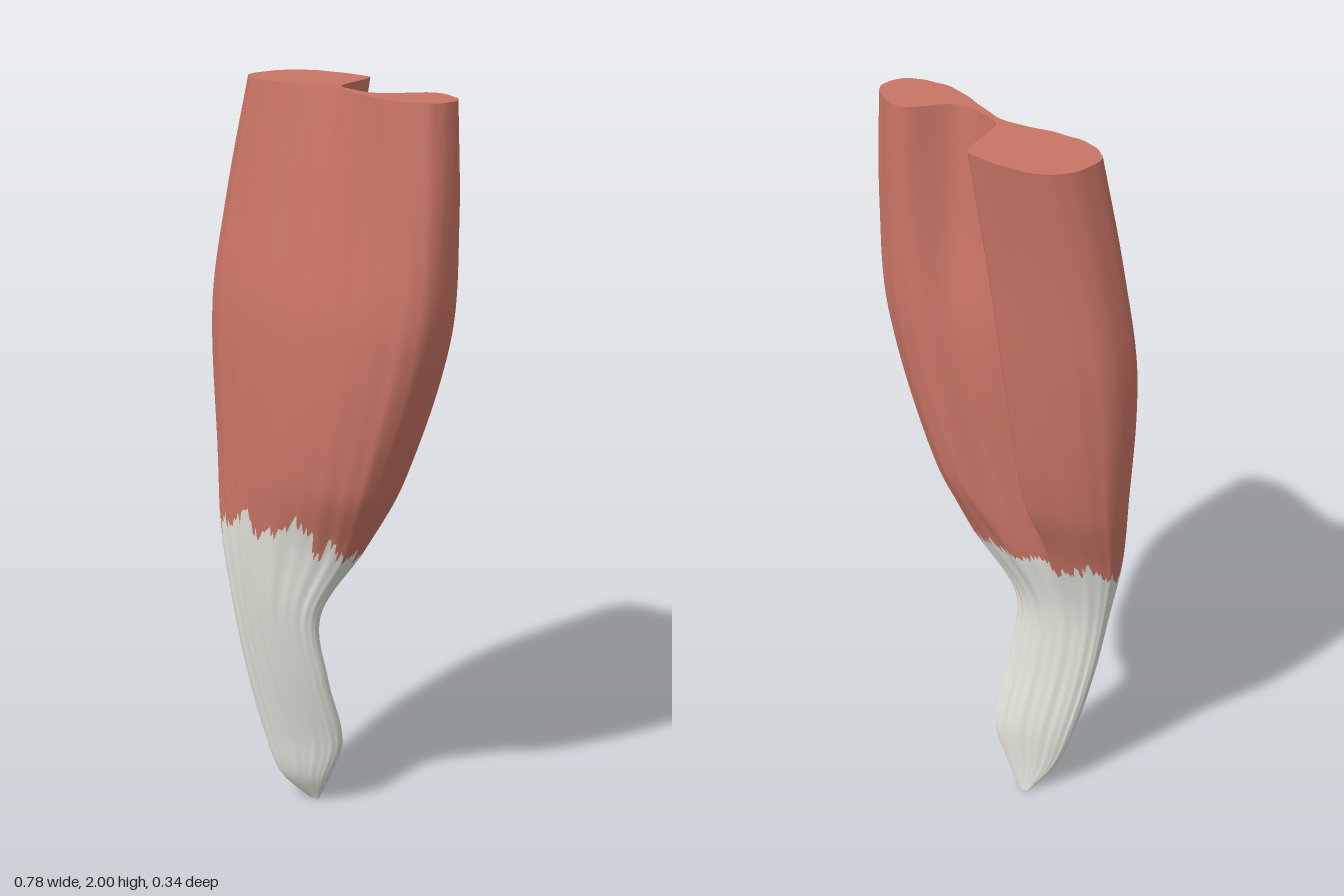
import * as THREE from 'three';

const COLUMNS = 240;

// Section: height, left x, right x, left-edge z, right-edge z, front bulge,
// back bulge left and right, back groove depth and position, front hollow
const sections = [
  [0, -0.125, -0.098, -0.008, -0.015, 0.005, 0.005, 0.005, 0, 0, 0],
  [0.08, -0.172, -0.055, 0.05, -0.012, 0.024, 0.024, 0.026, 0, 0, 0],
  [0.2, -0.207, -0.012, 0.08, -0.018, 0.03, 0.03, 0.03, 0, 0, 0],
  [0.4, -0.247, -0.01, 0.112, 0.04, 0.03, 0.032, 0.032, 0, 0, 0],
  [0.6, -0.28, -0.003, 0.128, 0.075, 0.036, 0.045, 0.04, 0, 0, 0],
  [0.8, -0.325, 0.11, 0.11, 0.03, 0.078, 0.06, 0.08, 0.02, 0, 0],
  [1, -0.36, 0.225, 0.075, 0.055, 0.107, 0.105, 0.185, 0.07, 0.06, 0.01],
  [1.4, -0.39, 0.37, 0.052, 0.037, 0.13, 0.16, 0.188, 0.09, 0.05, 0.03],
  [1.7, -0.365, 0.39, 0.02, 0.015, 0.12, 0.168, 0.145, 0.13, 0.09, 0.05],
  [2, -0.32, 0.375, -0.02, -0.01, 0.12, 0.195, 0.095, 0.17, 0.12, 0.08],
];

// Smooth blend of the section values at height y
function sectionAt(y) {
  const last = sections.length - 1;
  let k = 0;
  while (k < last - 1 && y > sections[k + 1][0]) k++;
  const h = sections[k + 1][0] - sections[k][0], t = (y - sections[k][0]) / h;
  const t2 = t * t, t3 = t2 * t;
  const slope = (n, c) => {
    const a = sections[Math.max(n - 1, 0)], b = sections[Math.min(n + 1, last)];
    return (b[c] - a[c]) / (b[0] - a[0]);
  };
  return sections[k].map((v, c) => (2 * t3 - 3 * t2 + 1) * v + (t3 - 2 * t2 + t) * h * slope(k, c)
    + (3 * t2 - 2 * t3) * sections[k + 1][c] + (t3 - t2) * h * slope(k + 1, c));
}

// Surface point: u runs left -> front -> right -> back
function surface(u, y) {
  const [, xl, xr, zl, zr, front, backL, backR, groove, centre, hollow] = sectionAt(y);
  const a = Math.PI * (1 - 2 * u), s = Math.cos(a), side = (s + 1) / 2;
  const swell = Math.pow(Math.abs(Math.sin(a)), 0.7);
  let z = THREE.MathUtils.lerp(zl, zr, side);
  if (Math.sin(a) > 0) {
    z += swell * (front - hollow * Math.exp(-(((s + 0.05) / 0.5) ** 2)));
  } else {
    // The groove has one steep wall and one shallow wall that narrows downwards
    const d = s - centre;
    const cut = d < 0 ? (d / 0.29) ** 6 : (d / (0.15 + 0.13 * y)) ** 4;
    z += swell * (groove * Math.exp(-cut) - THREE.MathUtils.lerp(backL, backR, side));
  }
  // Faint lengthwise fibres
  z += 0.0025 * Math.min(1, y / 0.3) * Math.sin(u * Math.PI * 34 + 2 * y) * Math.sin(u * Math.PI * 10 + 3 * y);
  return new THREE.Vector3(THREE.MathUtils.lerp(xl, xr, side), y, z);
}

// Skin between two heights, each of which may vary around the loop
function skin(bottom, top, rows) {
  const pos = [], nor = [], index = [], e = 0.002;
  for (let r = 0; r <= rows; r++) {
    for (let j = 0; j <= COLUMNS; j++) {
      const u = j / COLUMNS, y = THREE.MathUtils.lerp(bottom(j), top(j), r / rows);
      pos.push(...surface(u, y).toArray());
      const du = surface(u + e, y).sub(surface(u - e, y));
      const dy = surface(u, Math.min(2, y + e)).sub(surface(u, Math.max(0, y - e)));
      nor.push(...du.cross(dy).normalize().toArray());
      if (r < rows && j < COLUMNS) {
        const a = r * (COLUMNS + 1) + j, b = a + COLUMNS + 1;
        index.push(a, a + 1, b + 1, a, b + 1, b);
      }
    }
  }
  const g = new THREE.BufferGeometry();
  g.setAttribute('position', new THREE.Float32BufferAttribute(pos, 3));
  g.setAttribute('normal', new THREE.Float32BufferAttribute(nor, 3));
  g.setIndex(index);
  return g;
}

// Ragged line where muscle turns into tendon, higher at the front left
function seam(j) {
  const n = j % COLUMNS;
  const hash = (k) => { const s = Math.sin(k * 12.9898) * 43758.5453; return s - Math.floor(s); };
  const front = Math.max(0, Math.sin(2.4 * Math.PI * n / COLUMNS)) * (n < COLUMNS / 2 ? 1 : 0);
  return 0.78 + 0.07 * front + (0.05 + 0.06 * front) * (hash(Math.floor(n / 7)) - 0.5) + 0.04 * (hash(n + 50) - 0.5);
}

export function createModel() {
  const group = new THREE.Group();
  const red = new THREE.MeshStandardMaterial({ color: 0xc87464 });
  const pale = new THREE.MeshStandardMaterial({ color: 0xe0e0d8 });
  const add = (name, geometry, material) => {
    const mesh = new THREE.Mesh(geometry, material);
    mesh.name = name;
    group.add(mesh);
  };

  add('muscleBelly', skin(seam, () => 2, 40), red);
  add('tendon', skin(() => 0, seam, 36), pale);

  // Flat cut across both heads
  const rim = Array.from({ length: COLUMNS }, (_, j) => surface(j / COLUMNS, 2));
  const cap = new THREE.ShapeGeometry(new THREE.Shape(rim.map((p) => new THREE.Vector2(p.x, -p.z))));
  add('cutTop', cap.rotateX(-Math.PI / 2).translate(0, 2, 0), red);

  return group;
}
